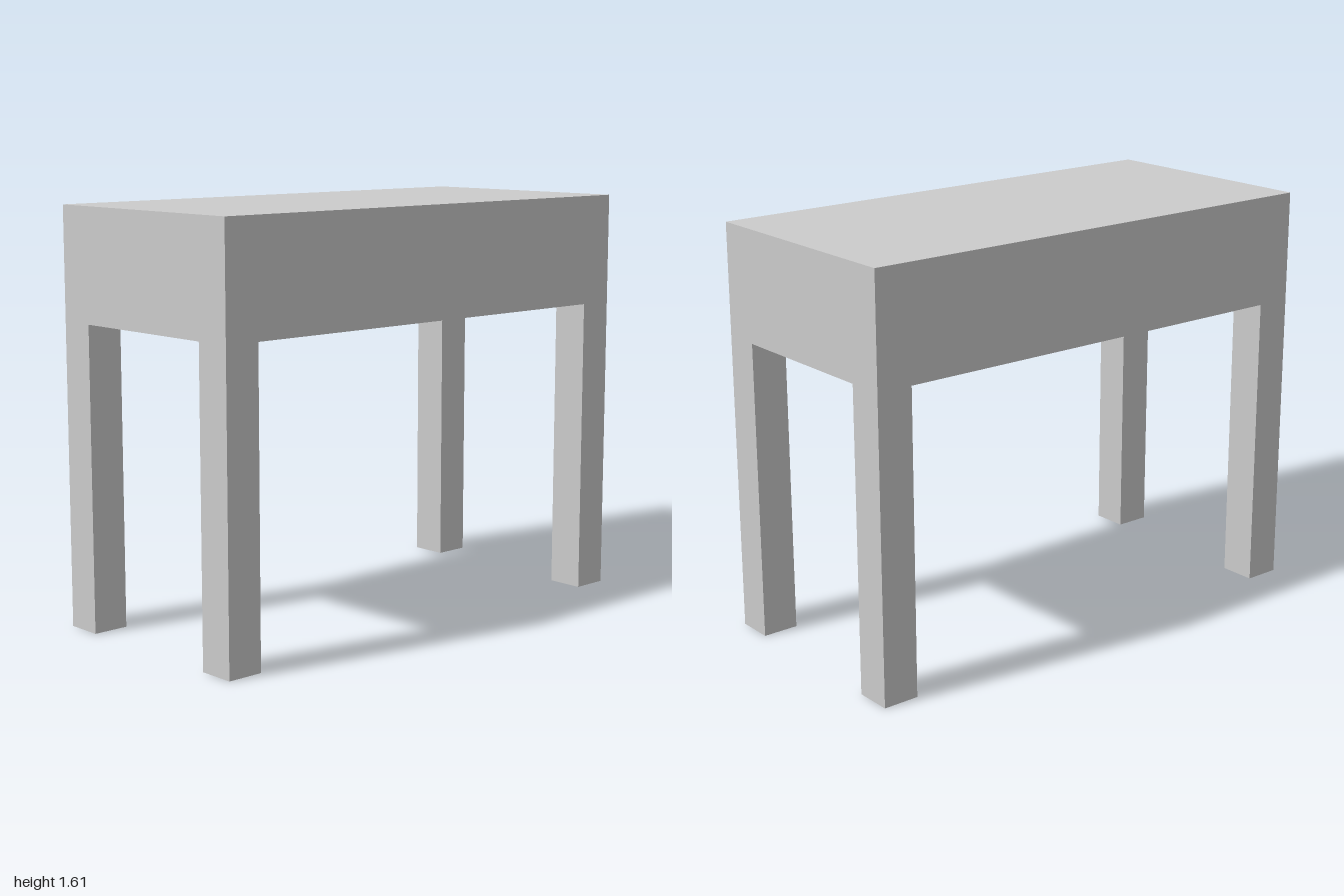
import * as THREE from 'three';

export function createModel() {
  const W = 0.94, D = 2, H = 1.605;      // overall size
  const LW = 0.146, LD = 0.143;          // leg section
  const legTop = 1.172, slabBottom = 1.31;
  const material = new THREE.MeshStandardMaterial({ color: 0xcccccc, flatShading: true });
  const model = new THREE.Group();
  model.name = 'table';

  // Box given by its centre in x and z and its bottom and top heights
  function box(name, w, d, y0, y1, x, z) {
    const mesh = new THREE.Mesh(new THREE.BoxGeometry(w, y1 - y0, d), material);
    mesh.name = name;
    mesh.position.set(x, (y0 + y1) / 2, z);
    model.add(mesh);
  }

  // Thick top
  box('tableTop', W, D, slabBottom, H, 0, 0);

  const lx = (W - LW) / 2, lz = (D - LD) / 2;
  for (const s of [1, -1]) {
    // Apron rails under the top, flush with the legs
    box(s > 0 ? 'leftRail' : 'rightRail', LW, D - 2 * LD, legTop, slabBottom, s * lx, 0);
    box(s > 0 ? 'frontRail' : 'backRail', W - 2 * LW, LD, legTop, slabBottom, 0, s * lz);
    // Corner legs, running up to the top
    for (const t of [1, -1]) {
      box((t > 0 ? 'front' : 'back') + (s > 0 ? 'Left' : 'Right') + 'Leg', LW, LD, 0, slabBottom, s * lx, t * lz);
    }
  }
  return model;
}
